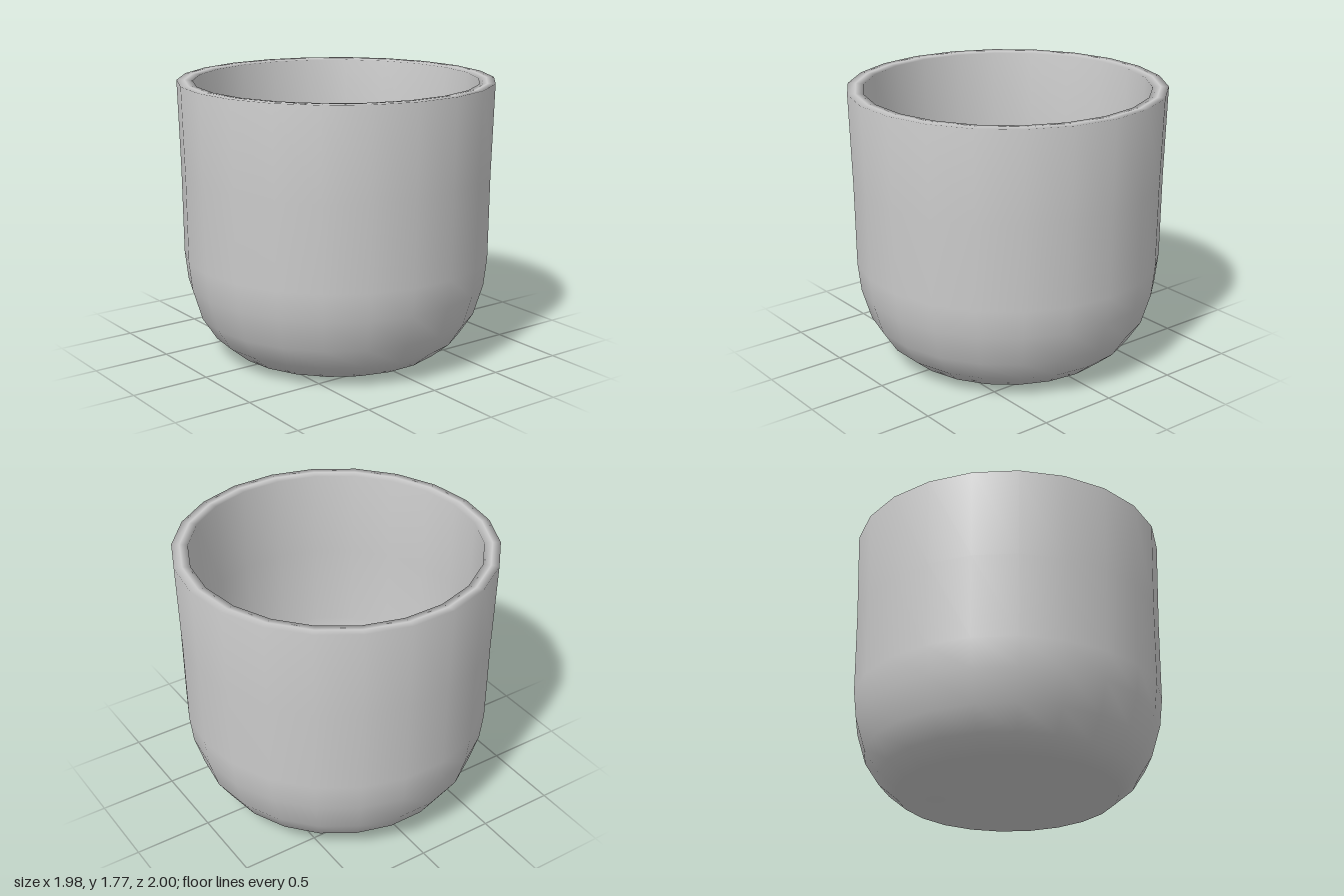
import * as THREE from 'three';

export function createModel() {
  const group = new THREE.Group();
  const clay = new THREE.MeshStandardMaterial({ color: 0xcccccc });
  clay.name = 'pale grey';
  clay.side = THREE.DoubleSide;

  // Closed wall profile: underside, outer wall, rim, inner wall, inner floor
  const profile = [
    [0, 0.01], [0.69, 0.04], [0.81, 0.14], [0.9, 0.28], [0.96, 0.48], [0.98, 0.66],
    [0.985, 1.2], [1, 1.77], [0.95, 1.77], [0.9, 1.765], [0.895, 1.2], [0.88, 0.66],
    [0.85, 0.46], [0.77, 0.28], [0.64, 0.17], [0.35, 0.12], [0, 0.11],
  ].map(([r, y]) => new THREE.Vector2(r, y));
  const geometry = new THREE.LatheGeometry(profile, 22);

  // The underside slopes to a low point off to one side
  const position = geometry.attributes.position;
  for (let i = 0; i < position.count; i += profile.length) {
    position.setXYZ(i, -0.42, 0, -0.25);
  }

  const cup = new THREE.Mesh(geometry, clay);
  cup.name = 'cup';
  group.add(cup);
  return group;
}
